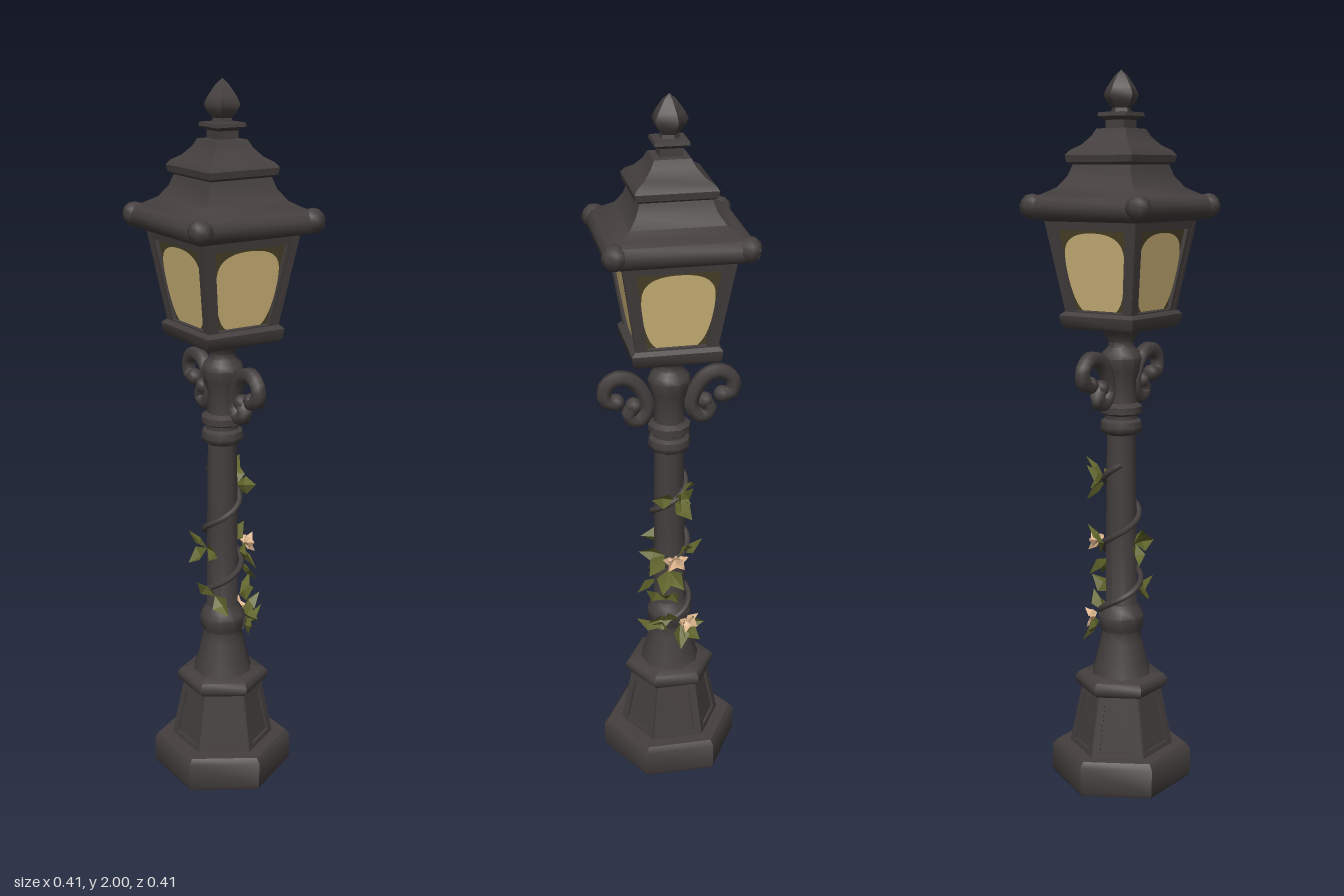
import * as THREE from 'three';
import { toCreasedNormals } from 'three/addons/utils/BufferGeometryUtils.js';

const mat = (name, color) => {
  const m = new THREE.MeshStandardMaterial({ color, side: THREE.DoubleSide });
  m.name = name;
  return m;
};

export function createModel() {
  const metal = mat('dark iron', 0x453f3f);
  const glass = mat('warm glass', 0xd2b97c);
  const tint = mat('glass edge', 0x4a4228);
  const green = mat('olive leaf', 0x62662c);
  const petal = mat('peach petal', 0xdcb48c);
  const model = new THREE.Group();
  model.name = 'streetLamp';

  const add = (parent, name, geo, material) => {
    const mesh = new THREE.Mesh(geo, material);
    mesh.name = name;
    parent.add(mesh);
    return mesh;
  };
  // Turned part: profile of [radius, y] pairs from the bottom up
  const turned = (name, sides, pts, phase = 0, k = 1) => add(model, name, toCreasedNormals(
    new THREE.LatheGeometry(pts.map(([r, y]) => new THREE.Vector2(r * k, y)), sides, phase), 0.75), metal);
  // Square part: profile of [half width, y] pairs
  const square = (name, pts) => turned(name, 4, pts, Math.PI / 4, Math.SQRT2);
  const trapezoid = (path, y0, w0, y1, w1) => {
    path.moveTo(-w0, y0); path.lineTo(w0, y0); path.lineTo(w1, y1); path.lineTo(-w1, y1); path.closePath();
    return path;
  };
  const frameGeo = (outer, inner, depth) => {
    const shape = trapezoid(new THREE.Shape(), ...outer);
    shape.holes.push(trapezoid(new THREE.Path(), ...inner));
    return new THREE.ExtrudeGeometry(shape, { depth, bevelEnabled: false });
  };

  // Hexagonal foot with framed panels
  turned('foot', 6, [[0, 0], [0.194, 0], [0.201, 0.012], [0.201, 0.085], [0.188, 0.1], [0.14, 0.1]]);
  turned('pedestal', 6, [[0.14, 0.095], [0.103, 0.28]]);
  turned('pedestalRing', 6, [[0.1, 0.268], [0.122, 0.27], [0.132, 0.28], [0.132, 0.298], [0.122, 0.31], [0.08, 0.318]]);
  const panelGeo = frameGeo([0, 0.073, 0.175, 0.054], [0.015, 0.05, 0.148, 0.038], 0.008);
  for (let i = 0; i < 6; i++) {
    const side = new THREE.Group();
    side.name = 'pedestalPanel';
    side.rotation.y = Math.PI / 6 + i * Math.PI / 3;
    const frame = add(side, 'panelFrame', panelGeo, metal);
    frame.position.set(0, 0.098, 0.121);
    frame.rotation.x = -0.17;
    model.add(side);
  }

  // Round post with collars
  turned('post', 10, [
    [0.088, 0.31], [0.076, 0.35], [0.062, 0.41], [0.055, 0.44], [0.064, 0.455], [0.066, 0.485],
    [0.056, 0.505], [0.046, 0.52], [0.045, 0.75], [0.042, 1.01], [0.056, 1.018], [0.061, 1.03], [0.058, 1.048],
    [0.046, 1.055], [0.046, 1.065], [0.06, 1.072], [0.06, 1.09], [0.044, 1.1], [0.042, 1.16],
    [0.052, 1.19], [0.06, 1.225], [0.054, 1.24], [0.038, 1.255], [0.036, 1.27], [0.05, 1.295], [0.07, 1.315]]);

  // Pair of scroll brackets along z
  const scroll = new THREE.CatmullRomCurve3([
    [0.1, 1.15], [0.115, 1.12], [0.088, 1.105], [0.062, 1.135], [0.072, 1.185], [0.105, 1.226],
    [0.145, 1.235], [0.178, 1.21], [0.176, 1.172], [0.148, 1.165]].map(([z, y]) => new THREE.Vector3(0, y, z)));
  const scrollGeo = new THREE.TubeGeometry(scroll, 26, 0.022, 6);
  for (const turn of [0, Math.PI]) {
    const arm = new THREE.Group();
    arm.name = 'scrollBracket';
    arm.rotation.y = turn;
    add(arm, 'scroll', scrollGeo, metal);
    for (const t of [0, 1]) {
      add(arm, 'scrollTip', new THREE.SphereGeometry(0.024, 8, 6), metal).position.copy(scroll.getPoint(t));
    }
    model.add(arm);
  }

  // Lantern: base tray and four leaning sides
  square('lanternTray', [[0, 1.308], [0.108, 1.308], [0.118, 1.318], [0.122, 1.345], [0.112, 1.355], [0, 1.358]]);
  const sideGeo = frameGeo([0, 0.11, 0.255, 0.15], [0.008, 0.079, 0.23, 0.112], 0.014);
  const backGeo = new THREE.ShapeGeometry(trapezoid(new THREE.Shape(), 0, 0.1, 0.25, 0.14));
  const pane = new THREE.Shape();
  pane.moveTo(-0.055, 0.01);
  pane.lineTo(0.055, 0.01);
  pane.bezierCurveTo(0.085, 0.03, 0.1, 0.12, 0.097, 0.16);
  pane.bezierCurveTo(0.096, 0.205, 0.06, 0.222, 0, 0.222);
  pane.bezierCurveTo(-0.06, 0.222, -0.096, 0.205, -0.097, 0.16);
  pane.bezierCurveTo(-0.1, 0.12, -0.085, 0.03, -0.055, 0.01);
  const paneGeo = new THREE.ShapeGeometry(pane, 10);
  for (let i = 0; i < 4; i++) {
    const turn = new THREE.Group();
    turn.name = 'lanternSide';
    turn.rotation.y = i * Math.PI / 2;
    const side = new THREE.Group();
    side.name = 'window';
    side.position.set(0, 1.35, 0.108);
    side.rotation.x = 0.16;
    add(side, 'windowFrame', sideGeo, metal).position.z = -0.014;
    add(side, 'windowEdge', backGeo, tint).position.z = -0.011;
    add(side, 'windowPane', paneGeo, glass).position.z = -0.007;
    turn.add(side);
    model.add(turn);
  }

  // Stepped square roof with knobs on the eave corners
  square('roof', [
    [0, 1.598], [0.15, 1.6], [0.18, 1.607], [0.194, 1.622], [0.196, 1.645], [0.182, 1.664], [0.155, 1.672],
    [0.125, 1.69], [0.104, 1.72], [0.094, 1.75], [0.106, 1.757], [0.109, 1.775], [0.1, 1.788],
    [0.078, 1.802], [0.058, 1.825], [0.048, 1.845], [0, 1.85]]);
  for (const x of [-1, 1]) {
    for (const z of [-1, 1]) {
      add(model, 'eaveKnob', new THREE.SphereGeometry(0.034, 8, 6), metal).position.set(x * 0.172, 1.64, z * 0.172);
    }
  }
  square('finialPlate', [[0.03, 1.845], [0.03, 1.868], [0.046, 1.878], [0.044, 1.888], [0, 1.892]]);
  turned('finial', 5, [
    [0.03, 1.885], [0.026, 1.9], [0.042, 1.918], [0.05, 1.935], [0.04, 1.955], [0.018, 1.985], [0, 2]], Math.PI);

  // Climbing vine: coiled stem, folded leaves and small blossoms
  const coil = [];
  for (let i = 0; i <= 40; i++) {
    const t = i / 40, a = 0.6 + t * Math.PI * 5, r = 0.06 - 0.014 * t;
    coil.push(new THREE.Vector3(r * Math.sin(a), 0.45 + 0.48 * t, r * Math.cos(a)));
  }
  add(model, 'vineStem', new THREE.TubeGeometry(new THREE.CatmullRomCurve3(coil), 80, 0.009, 5), metal);

  const fold = (len, wide) => {
    const g = new THREE.BufferGeometry();
    g.setAttribute('position', new THREE.Float32BufferAttribute([
      0, 0, 0, wide, len * 0.4, 0.012, 0, len * 0.5, -0.004,
      wide, len * 0.4, 0.012, 0, len, 0.01, 0, len * 0.5, -0.004,
      0, 0, 0, 0, len * 0.5, -0.004, -wide, len * 0.4, 0.012,
      0, len * 0.5, -0.004, 0, len, 0.01, -wide, len * 0.4, 0.012], 3));
    g.computeVertexNormals();
    return g;
  };
  const leafGeo = fold(0.075, 0.026);
  const petalGeo = fold(0.04, 0.016);
  const spray = (name, geo, material, angle, y, rolls, out) => {
    const group = new THREE.Group();
    group.name = name;
    group.rotation.y = angle;
    for (const roll of rolls) {
      const blade = add(group, name + 'Blade', geo, material);
      blade.position.set(0, y, out);
      blade.rotation.set(0.6 * Math.cos(roll), 0, roll);
    }
    model.add(group);
  };
  // angle around the post (0 front, positive toward +x), height, blade directions
  for (const [angle, y, rolls] of [
    [1.7, 0.87, [1.3, -0.6, -2.6]], [2.3, 0.89, [0.3, 2.4]],
    [1.1, 0.69, [1.5, 2.7]], [2.2, 0.69, [-1.2, 0.4]], [1.3, 0.64, [3, -2.4]],
    [-1.6, 0.7, [0.4, 2.6, -1.6]], [-1.0, 0.56, [0.5, -2.3]], [1.2, 0.54, [0.8, -0.6]],
    [1.0, 0.45, [1.2, -0.3]], [1.9, 0.46, [-1.7, 2.8, -2.5]], [1.5, 0.48, [1.6, 0.2]]]) {
    spray('leaf', leafGeo, green, angle, y, rolls, y < 0.52 ? 0.066 : 0.05);
  }
  for (const [angle, y] of [[1.6, 0.69], [2.1, 0.475]]) {
    spray('blossom', petalGeo, petal, angle, y, [0, 1.26, 2.51, 3.77, 5.03], 0.074);
  }
  return model;
}
